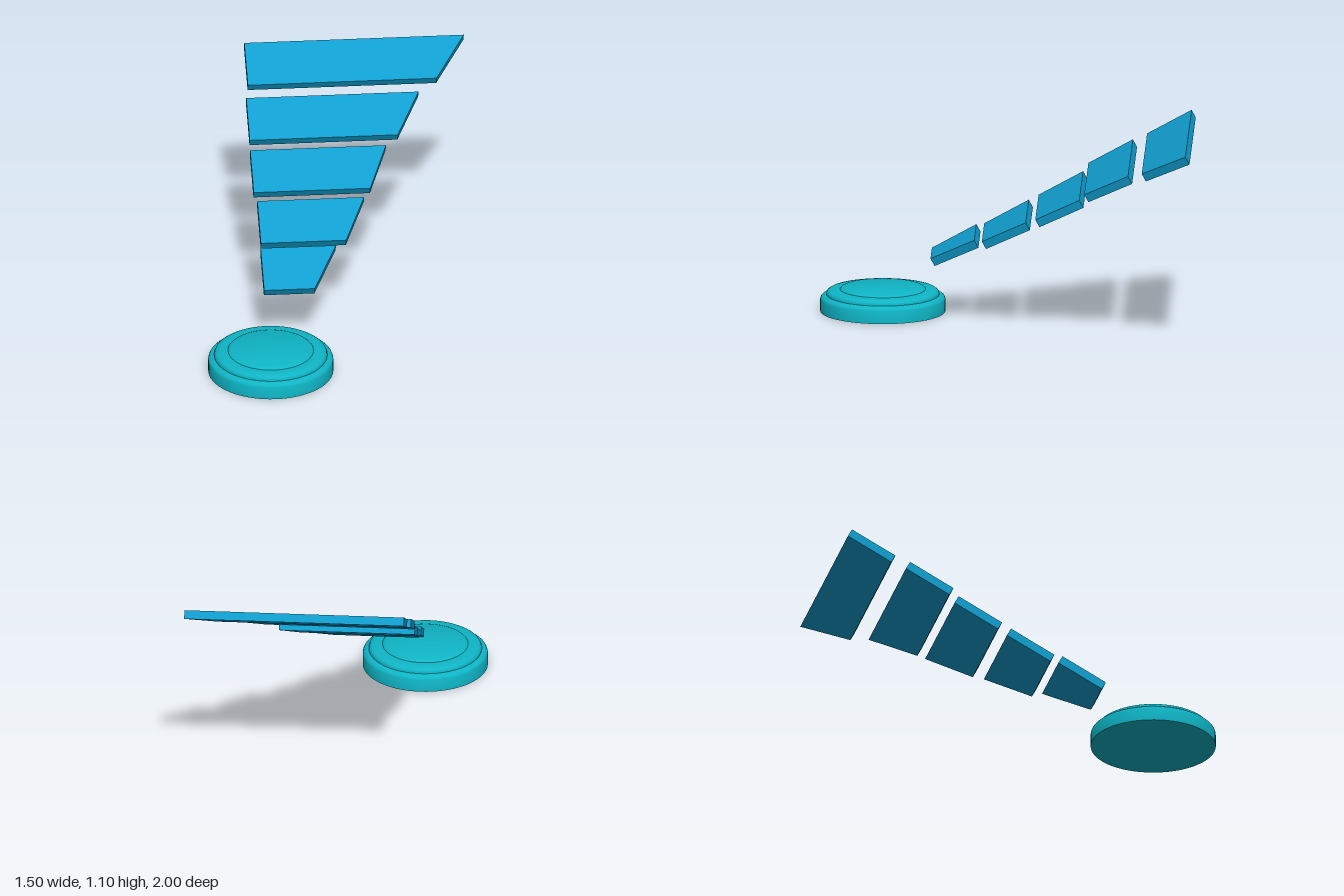
import * as THREE from 'three';
import { toCreasedNormals } from 'three/addons/utils/BufferGeometryUtils.js';

const SLOPE = THREE.MathUtils.degToRad(28.7);
const PANEL_LENGTH = 0.27;
const PANEL_THICKNESS = 0.046;

// Sloping panel: straight left edge, right edge widening towards the back.
// The local origin lies on the top surface at the front edge.
function panelGeometry(left, rightFront, rightBack) {
  const shape = new THREE.Shape([
    new THREE.Vector2(left, 0),
    new THREE.Vector2(rightFront, 0),
    new THREE.Vector2(rightBack, PANEL_LENGTH),
    new THREE.Vector2(left, PANEL_LENGTH),
  ]);
  const geometry = new THREE.ExtrudeGeometry(shape, { depth: PANEL_THICKNESS, bevelEnabled: false });
  geometry.translate(0, 0, -PANEL_THICKNESS);
  geometry.rotateX(SLOPE - Math.PI / 2);
  return geometry;
}

export function createModel() {
  const model = new THREE.Group();
  model.name = 'steppedPanelsWithBase';
  const panelMaterial = new THREE.MeshStandardMaterial({ color: 0x109fd0 });
  const baseMaterial = new THREE.MeshStandardMaterial({ color: 0x0fb5c6 });

  // Round stepped base with softened shoulders
  const profile = [
    [0, 0], [0.333, 0], [0.333, 0.068], [0.329, 0.078], [0.319, 0.086], [0.306, 0.09],
    [0.301, 0.091], [0.301, 0.097], [0.296, 0.108], [0.285, 0.115], [0.265, 0.119],
    [0.228, 0.12], [0.222, 0.126], [0.21, 0.131], [0, 0.131],
  ].map(([r, y]) => new THREE.Vector2(r, y));
  const base = new THREE.Mesh(
    toCreasedNormals(new THREE.LatheGeometry(profile, 64), 0.6),
    baseMaterial
  );
  base.name = 'roundBase';
  base.position.set(-0.416, 0, 0.666);
  model.add(base);

  // Five panels rising to the back: front z, front y, left, right front, right back
  const panels = new THREE.Group();
  panels.name = 'panels';
  [
    [0.405, 0.342, -0.43, -0.16, -0.028],
    [0.126, 0.478, -0.425, 0.03, 0.145],
    [-0.163, 0.632, -0.44, 0.182, 0.285],
    [-0.428, 0.807, -0.44, 0.35, 0.48],
    [-0.741, 0.973, -0.425, 0.582, 0.747],
  ].forEach(([z, y, left, rightFront, rightBack], i) => {
    const panel = new THREE.Mesh(panelGeometry(left, rightFront, rightBack), panelMaterial);
    panel.name = `panel${i + 1}`;
    panel.position.set(0, y, z);
    panels.add(panel);
  });
  model.add(panels);

  return model;
}
